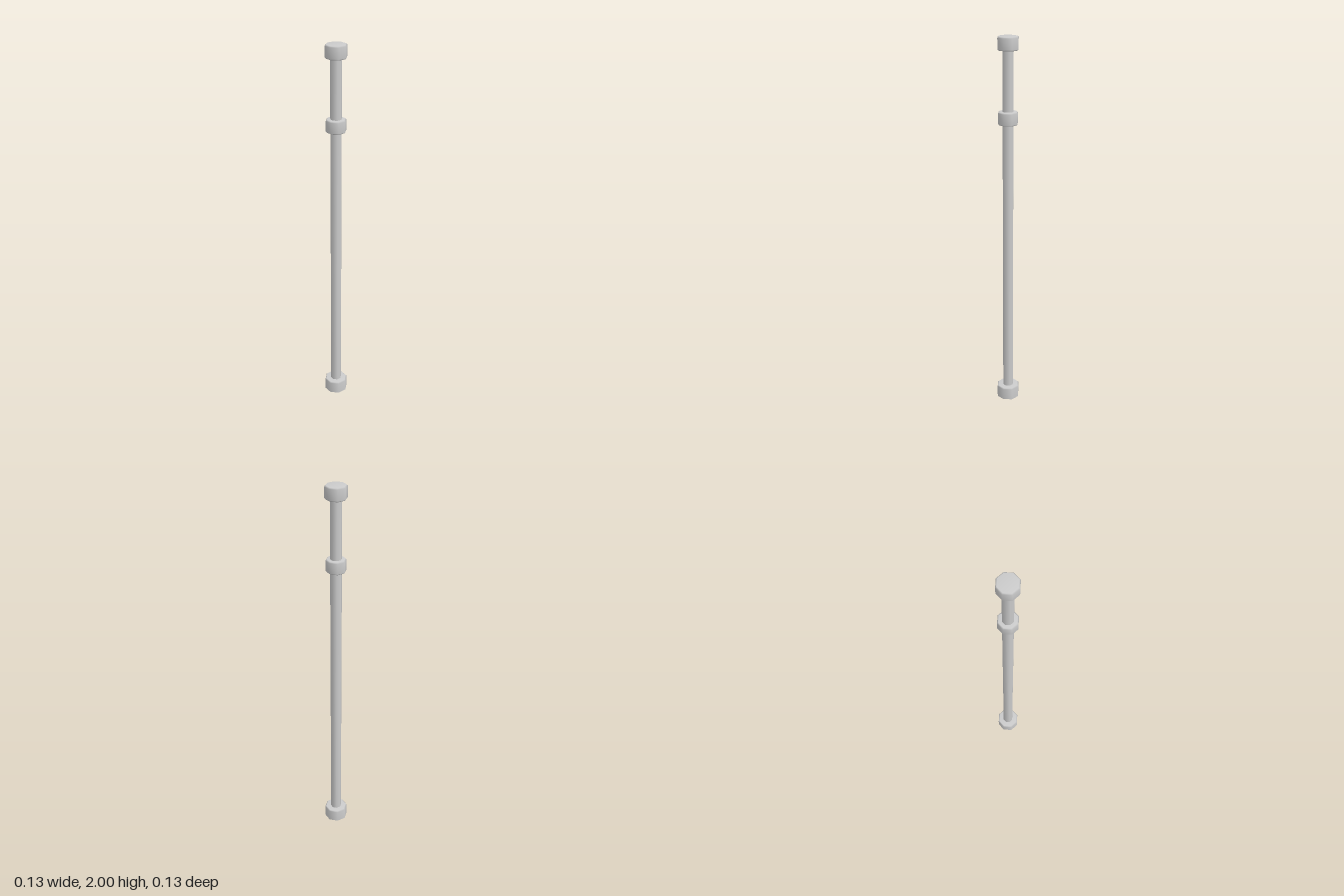
import * as THREE from 'three';

const SIDES = 8;
const material = new THREE.MeshStandardMaterial({ color: 0xcccccc });

// Turns a profile of [radius, height] points into an eight-sided part
function turned(name, profile) {
  const points = profile.map(([r, y]) => new THREE.Vector2(r, y));
  const mesh = new THREE.Mesh(new THREE.LatheGeometry(points, SIDES), material);
  mesh.name = name;
  return mesh;
}

// Closed ring profile; the bevels soften the lower and upper rims
function collar(name, radius, bottom, top, lowBevel, highBevel) {
  return turned(name, [
    [0, bottom],
    [radius - lowBevel, bottom],
    [radius, bottom + lowBevel],
    [radius, top - highBevel],
    [radius - highBevel, top],
    [0, top],
  ]);
}

export function createModel() {
  const group = new THREE.Group();
  group.name = 'post';

  // Long shaft, its ends hidden inside the base and the cap
  group.add(turned('shaft', [[0.029, 0.03], [0.029, 1.97]]));

  // Foot with a flat underside, middle band and top cap
  group.add(collar('base', 0.063, 0, 0.07, 0, 0.006));
  group.add(collar('middleBand', 0.052, 1.57, 1.636, 0.006, 0.006));
  group.add(collar('topCap', 0.055, 1.934, 2, 0.006, 0.006));

  return group;
}
